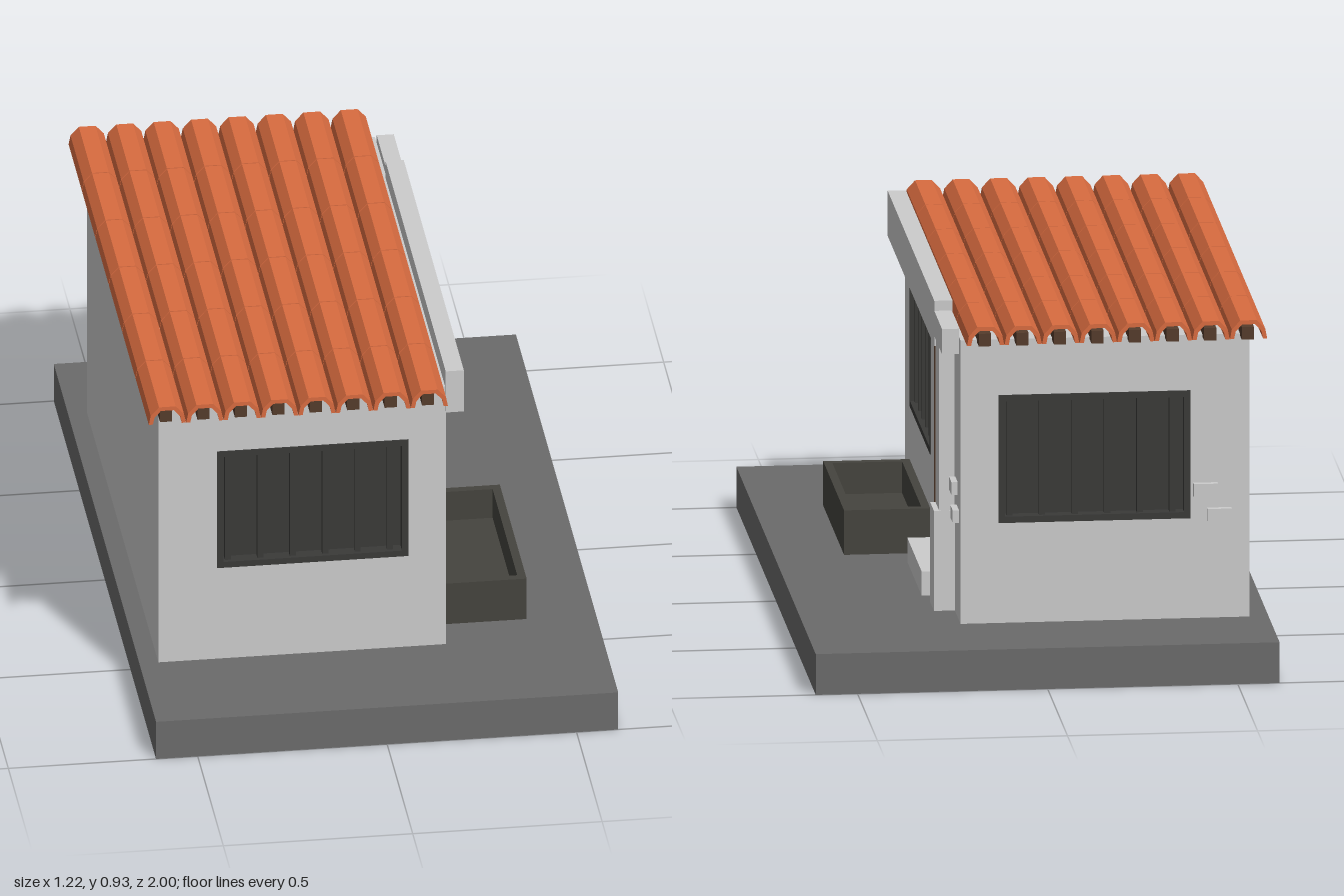
import * as THREE from 'three';

const mat = (color) => new THREE.MeshStandardMaterial({ color });

export function createModel() {
  const root = new THREE.Group();
  root.name = 'house';
  const grey = mat(0xcccccc), ground = mat(0x6b6b6b), dark = mat(0x3a3a38);
  const stone = mat(0x45443e), wood = mat(0x553c2c), clay = mat(0xd96c40);

  // box given by its lower and upper corners
  function box(parent, name, m, [x0, y0, z0], [x1, y1, z1]) {
    const mesh = new THREE.Mesh(new THREE.BoxGeometry(x1 - x0, y1 - y0, z1 - z0), m);
    mesh.position.set((x0 + x1) / 2, (y0 + y1) / 2, (z0 + z1) / 2);
    mesh.name = name;
    parent.add(mesh);
    return mesh;
  }
  function rect(path, x0, y0, x1, y1) {
    path.moveTo(x0, y0).lineTo(x1, y0).lineTo(x1, y1).lineTo(x0, y1).closePath();
    return path;
  }
  // rectangular plate with rectangular holes, outer face at z = front
  function plate(parent, name, m, outer, holes, depth, front) {
    const shape = rect(new THREE.Shape(), ...outer);
    holes.forEach((h) => shape.holes.push(rect(new THREE.Path(), ...h)));
    const geo = new THREE.ExtrudeGeometry(shape, { depth, bevelEnabled: false });
    geo.translate(0, 0, front - depth);
    const mesh = new THREE.Mesh(geo, m);
    mesh.name = name;
    parent.add(mesh);
    return mesh;
  }
  const inset = ([x0, y0, x1, y1], d) => [x0 + d, y0 + d, x1 - d, y1 - d];

  // wall facing its local +z
  function wall(name, x0, x1, openings, x, z, turn) {
    const g = new THREE.Group();
    g.name = name;
    g.position.set(x, 0, z);
    g.rotation.y = turn;
    plate(g, name + 'Panel', grey, [x0, 0.11, x1, 0.875], openings, 0.06, 0);
    root.add(g);
    return g;
  }
  // barred window set in a wall opening
  function addWindow(parent, r) {
    const g = new THREE.Group();
    g.name = 'window';
    parent.add(g);
    plate(g, 'windowFrame', dark, r, [inset(r, 0.017)], 0.045, 0.003);
    box(g, 'windowPane', dark, [r[0], r[1], -0.045], [r[2], r[3], -0.03]);
    const step = (r[2] - r[0]) / 5.9;
    for (let i = 0; i < 6; i++) {
      const x = r[0] + 0.03 + i * step;
      box(g, 'windowBar', dark, [x - 0.008, r[1] + 0.015, -0.024], [x + 0.008, r[3] - 0.015, -0.008]);
    }
  }

  box(root, 'groundSlab', ground, [-0.61, 0, -1], [0.61, 0.11, 1]);

  // walls
  const frontWin = [-0.405, 0.38, 0.1, 0.725];
  const backWin = [-0.1, 0.38, 0.405, 0.725];
  const sideWin = [-0.54, 0.38, -0.02, 0.725];
  const door = [0.07, 0.175, 0.396, 0.727];
  const front = wall('frontWall', -0.56, 0.2, [frontWin], 0, 0.674, 0);
  const back = wall('backWall', -0.2, 0.56, [backWin], 0, -0.72, Math.PI);
  const side = wall('entranceWall', -0.674, 0.72, [sideWin, door], 0.2, 0, Math.PI / 2);
  box(root, 'plainWall', grey, [-0.56, 0.11, -0.72], [-0.5, 0.875, 0.674]);
  box(root, 'ceiling', grey, [-0.55, 0.84, -0.71], [0.19, 0.874, 0.665]);
  addWindow(front, frontWin);
  addWindow(back, backWin);
  addWindow(side, sideWin);

  // door with frame, handle and bell
  plate(side, 'doorFrame', wood, door, [inset(door, 0.017)], 0.045, 0.002);
  box(side, 'doorLeaf', wood, [0.075, 0.18, -0.04], [0.39, 0.72, -0.012]);
  box(side, 'handlePlate', grey, [0.327, 0.43, -0.012], [0.358, 0.513, -0.005]);
  box(side, 'handleLever', grey, [0.32, 0.463, -0.005], [0.348, 0.475, 0.002]);
  box(side, 'bellPlate', grey, [0.42, 0.505, 0], [0.455, 0.575, 0.007]);
  box(side, 'bellButton', grey, [0.428, 0.525, 0.007], [0.447, 0.55, 0.013]);
  box(side, 'doorStep', grey, [0.05, 0.11, 0], [0.41, 0.175, 0.07]);

  // small meter boxes on the entrance and back walls
  box(side, 'meterBox', grey, [0.588, 0.44, 0], [0.65, 0.475, 0.0165]);
  box(side, 'meterBox', grey, [0.62, 0.373, 0], [0.682, 0.407, 0.0165]);
  box(back, 'meterBox', grey, [0.412, 0.44, 0], [0.476, 0.475, 0.0165]);
  box(back, 'meterBox', grey, [0.448, 0.373, 0], [0.512, 0.407, 0.0165]);

  // parapet and column
  box(root, 'parapet', grey, [0.197, 0.803, -0.49], [0.245, 0.925, 0.685]);
  box(root, 'parapetEnd', grey, [0.2, 0.83, -0.685], [0.245, 0.898, -0.49]);
  box(root, 'column', grey, [0.2, 0.11, -0.573], [0.241, 0.89, -0.483]);
  box(root, 'columnBase', grey, [0.2, 0.11, -0.576], [0.255, 0.38, -0.481]);

  // hollow planter
  const planter = new THREE.Group();
  planter.name = 'planter';
  planter.rotation.x = -Math.PI / 2;
  root.add(planter);
  const rim = [0.2, -0.565, 0.427, -0.04];
  plate(planter, 'planterSides', stone, rim, [inset(rim, 0.022)], 0.12, 0.23);
  plate(planter, 'planterFloor', stone, inset(rim, 0.01), [], 0.03, 0.145);

  // roof: arched tiles in rows over round-ended lines of rafters
  const arch = [[0.049, 0], [0.044, 0.026], [0.022, 0.05], [-0.022, 0.05], [-0.044, 0.026], [-0.049, 0]];
  const under = [[-0.038, 0], [-0.034, 0.02], [-0.017, 0.039], [0.017, 0.039], [0.034, 0.02], [0.038, 0]];
  const profile = new THREE.Shape([...arch, ...under].map(([x, y]) => new THREE.Vector2(x, y)));
  const rows = 6, pitch = 0.262;
  const tileGeo = new THREE.ExtrudeGeometry(profile, { depth: pitch - 0.004, bevelEnabled: false });
  const roof = new THREE.Group();
  roof.name = 'roof';
  root.add(roof);
  for (let c = 0; c < 8; c++) {
    const x = -0.551 + c * 0.0988;
    box(roof, 'rafter', wood, [x - 0.016, 0.869, -0.765], [x + 0.016, 0.903, 0.76]);
    for (let r = 0; r < rows; r++) {
      const tile = new THREE.Mesh(tileGeo, clay);
      tile.name = 'roofTile';
      tile.position.set(x, 0.876, (r - rows / 2) * pitch + 0.002);
      roof.add(tile);
    }
  }
  return root;
}
